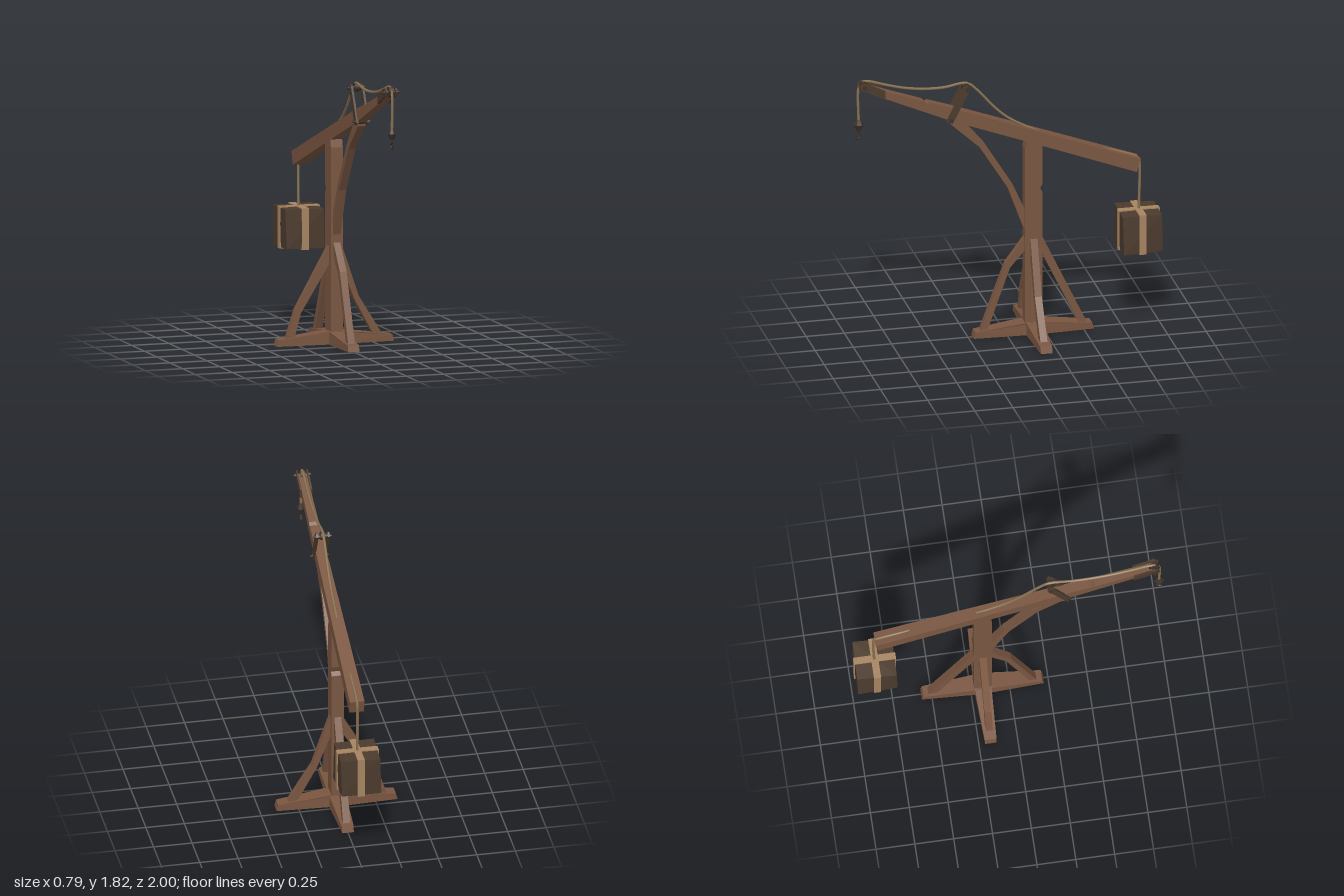
import * as THREE from 'three';

const mat = (name, color, extra = {}) => {
  const m = new THREE.MeshStandardMaterial({ color, ...extra });
  m.name = name;
  return m;
};

export function createModel() {
  const wood = mat('brown wood', 0x7a5641);
  const darkWood = mat('dark wood', 0x4c3b2d);
  const iron = mat('dark iron', 0x3f3229);
  const ropeMat = mat('rope', 0x8a7251);
  const strapMat = mat('tan strap', 0xa68461);
  const model = new THREE.Group();
  const PZ = -0.173; // z of the post axis

  const add = (name, geo, material, x = 0, y = 0, z = 0, parent = model) => {
    const m = new THREE.Mesh(geo, material);
    m.name = name;
    m.position.set(x, y, z);
    parent.add(m);
    return m;
  };

  // Slab cut from a side profile; points are [x, y], or [z, y] when alongZ
  const slab = (points, width, alongZ = true) => {
    const shape = new THREE.Shape(points.map(p => new THREE.Vector2(...p)));
    const g = new THREE.ExtrudeGeometry(shape, { depth: width, bevelEnabled: false });
    g.translate(0, 0, -width / 2);
    if (alongZ) g.rotateY(-Math.PI / 2);
    return g;
  };

  // Change the thickness of a slab by a rule
  const taper = (g, axis, rule) => {
    const p = g.attributes.position;
    for (let i = 0; i < p.count; i++) {
      if (axis === 'x') p.setX(i, p.getX(i) * rule(p.getZ(i)));
      else p.setZ(i, p.getZ(i) * rule(p.getX(i)));
    }
    g.computeVertexNormals();
    return g;
  };

  // Crossed base beams, highest and widest in the middle
  const beam = [[-0.393, 0], [0, 0], [0.393, 0], [0.382, 0.042], [0.04, 0.084], [-0.04, 0.084], [-0.382, 0.042]];
  const narrow = d => 1 - 0.33 * Math.abs(d) / 0.393;
  add('baseBeamAcross', taper(slab(beam, 0.112, false), 'z', narrow), wood, 0, 0, PZ);
  add('baseBeamAlong', taper(slab(beam, 0.112), 'x', narrow), wood, 0, 0, PZ);

  // Post with a chipped back edge
  add('post', slab([[-0.115, 0.02], [-0.115, 1.27], [-0.135, 1.35], [-0.2, 1.36], [-0.23, 1.33],
    [-0.23, 1.03], [-0.212, 0.99], [-0.23, 0.965], [-0.23, 0.02]], 0.08), wood);

  // Four knee braces from the base to the post
  add('kneeBraceRight', slab([[-0.327, 0.04], [-0.265, 0.23], [-0.03, 0.65], [-0.03, 0.53], [-0.23, 0.207],
    [-0.275, 0.04]], 0.046, false), wood, 0, 0, PZ);
  add('kneeBraceLeft', slab([[0.322, 0.04], [0.16, 0.3], [0.03, 0.68], [0.03, 0.53], [0.13, 0.28],
    [0.262, 0.04]], 0.046, false), wood, 0, 0, PZ);
  add('kneeBraceFront', slab([[0.175, 0.04], [0.01, 0.487], [-0.125, 0.67], [-0.125, 0.58], [-0.02, 0.46],
    [0.13, 0.04]], 0.046), wood);
  add('kneeBraceBack', slab([[-0.525, 0.04], [-0.225, 0.67], [-0.225, 0.55], [-0.473, 0.04]], 0.046), wood);

  // Curved brace under the boom
  add('boomBrace', slab([[0.375, 1.52], [0.37, 1.48], [0.18, 1.305], [-0.005, 1.01], [-0.118, 0.7], [-0.14, 0.7],
    [-0.14, 0.82], [-0.118, 0.85], [-0.035, 1.035], [0.148, 1.33], [0.31, 1.52]], 0.05), wood);

  // Boom, thinner toward the tip
  add('boom', taper(slab([[-0.866, 1.137], [-0.845, 1.05], [-0.17, 1.305], [0.36, 1.502], [0.8, 1.695], [0.92, 1.758],
    [0.92, 1.79], [0.8, 1.745], [0.55, 1.655], [0.53, 1.638], [0.51, 1.643], [0.35, 1.588], [-0.17, 1.395]], 0.08),
    'x', z => 0.95 - 0.28 * z), wood);

  // Paired parts on either side of the boom
  for (const s of [-1, 1]) {
    add('tipPlate', slab([[0.8, 1.69], [0.92, 1.752], [0.96, 1.765], [0.968, 1.79], [0.945, 1.812], [0.91, 1.805],
      [0.8, 1.75]], 0.012), darkWood, s * 0.034);
    add('mastStrut', slab([[0.4, 1.505], [0.36, 1.487], [0.243, 1.715], [0.262, 1.738], [0.287, 1.728]], 0.014),
      darkWood, s * 0.037);
  }

  // Pulley wheels and cross pins
  const wheel = (name, r, w, y, z) =>
    add(name, new THREE.CylinderGeometry(r, r, w, 10).rotateZ(Math.PI / 2), iron, 0, y, z);
  wheel('tipPulley', 0.034, 0.03, 1.785, 0.935);
  wheel('mastPulley', 0.028, 0.03, 1.715, 0.265);
  [[1.782, 0.932], [1.712, 0.262], [1.51, 0.37]].forEach(([y, z]) => {
    wheel('pin', 0.008, 0.116, y, z);
    wheel('pinCollar', 0.015, 0.096, y, z);
  });

  // Ropes
  const rope = (name, pts, r = 0.009) => {
    const curve = new THREE.CatmullRomCurve3(pts.map(([z, y]) => new THREE.Vector3(0, y, z)), false, 'centripetal');
    add(name, new THREE.TubeGeometry(curve, pts.length * 4, r, 6), ropeMat);
  };
  rope('boomRope', [[0.966, 1.55], [0.967, 1.77], [0.95, 1.808], [0.91, 1.815], [0.8, 1.782], [0.66, 1.745],
    [0.524, 1.727], [0.4, 1.727], [0.29, 1.745], [0.245, 1.738], [0.19, 1.69], [0.075, 1.56], [-0.02, 1.477],
    [-0.235, 1.36], [-0.476, 1.264], [-0.82, 1.155], [-0.868, 1.128], [-0.874, 1.08], [-0.868, 0.78]]);

  // Hook block with hook
  const hook = new THREE.Group();
  hook.name = 'hookBlock';
  hook.position.set(0, 0, 0.966);
  model.add(hook);
  const block = new THREE.CylinderGeometry(0.014, 0.034, 0.035, 6).toNonIndexed();
  block.computeVertexNormals();
  add('blockTop', block, iron, 0, 1.538, 0, hook).scale.x = 0.75;
  const low = new THREE.CylinderGeometry(0.034, 0.012, 0.042, 6).toNonIndexed();
  low.computeVertexNormals();
  add('blockBottom', low, iron, 0, 1.5, 0, hook).scale.x = 0.75;
  const hookPath = new THREE.CatmullRomCurve3([[0, 1.485], [0, 1.465], [-0.016, 1.45], [-0.015, 1.433], [0, 1.425],
    [0.016, 1.431], [0.021, 1.448]].map(([z, y]) => new THREE.Vector3(0, y, z)));
  add('hook', new THREE.TubeGeometry(hookPath, 20, 0.007, 6), iron, 0, 0, 0, hook);

  // Counterweight crate with slightly uneven corners
  const crate = new THREE.Group();
  crate.name = 'counterweight';
  crate.position.set(0, 0.65, -0.865);
  model.add(crate);
  const box = new THREE.BoxGeometry(0.256, 0.254, 0.254).toNonIndexed();
  const p = box.attributes.position;
  for (let i = 0; i < p.count; i++) {
    const [x, y, z] = [p.getX(i), p.getY(i), p.getZ(i)].map(Math.sign);
    p.setXYZ(i, p.getX(i) - 0.004 * y * z, p.getY(i) - 0.003 * x * z, p.getZ(i) + 0.003 * x * y);
  }
  box.computeVertexNormals();
  add('crate', box, darkWood, 0, 0, 0, crate);

  // Straps around the crate: four thin plates per band
  for (const turn of [0, Math.PI / 2]) {
    const band = new THREE.Group();
    band.name = 'strapBand';
    band.rotation.y = turn;
    crate.add(band);
    for (const s of [-1, 1]) {
      add('strapSide', new THREE.BoxGeometry(0.009, 0.268, 0.046), strapMat, s * 0.131, 0, 0, band);
      add('strapFlat', new THREE.BoxGeometry(0.27, 0.009, 0.046), strapMat, 0, s * 0.13, 0, band);
    }
  }
  return model;
}
